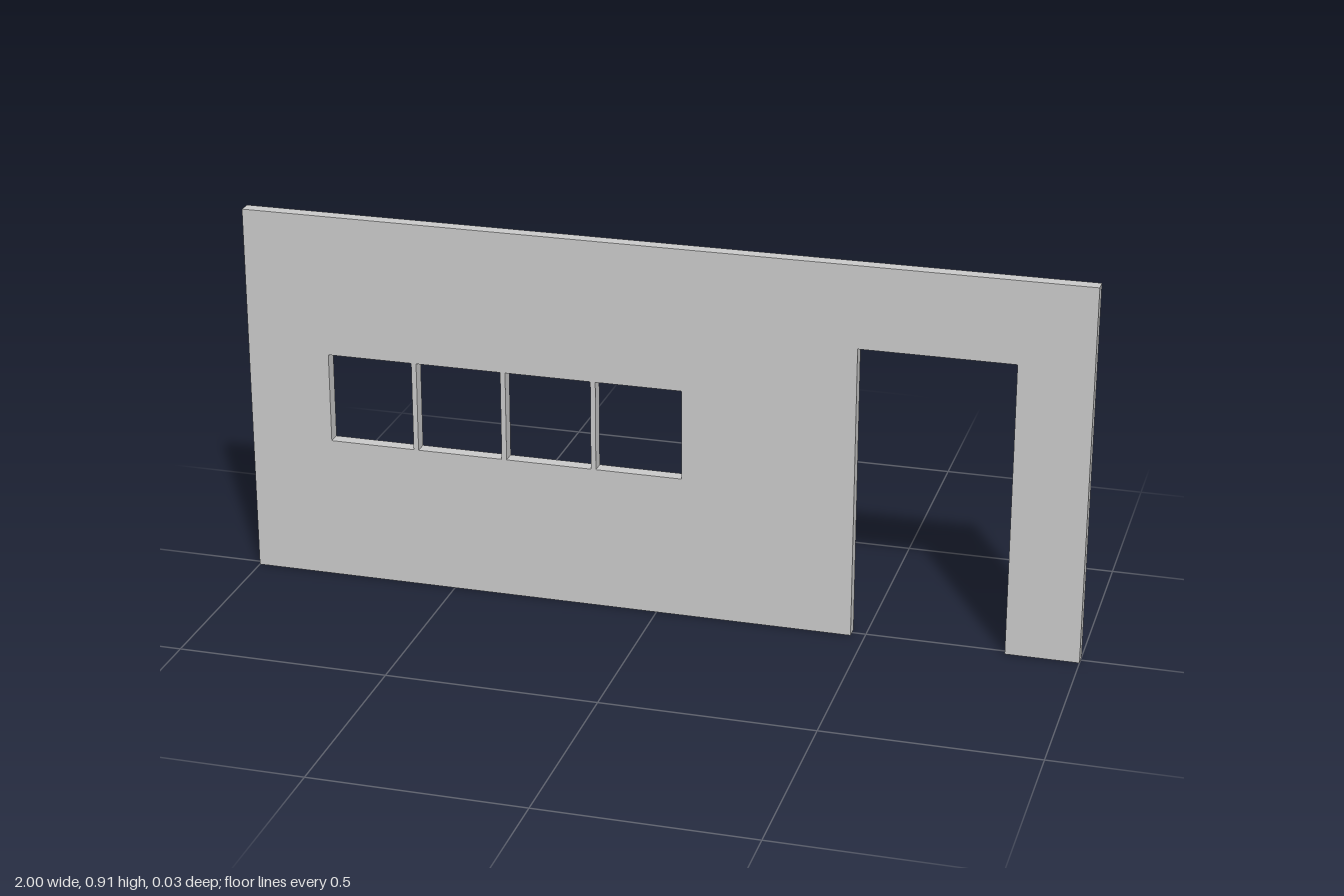
import * as THREE from 'three';

const HEIGHT = 0.907, DEPTH = 0.032;
const DOOR = { left: 0.467, right: 0.828, top: 0.71 };
const WINDOW = { left: -0.8, right: 0.06, bottom: 0.347, top: 0.565, panes: 4, bar: 0.012 };

const polygon = (points, Type) => new Type(points.map(([x, y]) => new THREE.Vector2(x, y)));

export function createModel() {
  const model = new THREE.Group();
  model.name = 'wallPanel';

  // Wall outline with the doorway notched into its lower edge
  const outline = polygon([
    [-1, 0], [DOOR.left, 0], [DOOR.left, DOOR.top], [DOOR.right, DOOR.top],
    [DOOR.right, 0], [1, 0], [1, HEIGHT], [-1, HEIGHT],
  ], THREE.Shape);

  // Row of window openings separated by thin bars
  const { left, right, bottom, top, panes, bar } = WINDOW;
  const width = (right - left - bar * (panes - 1)) / panes;
  for (let i = 0; i < panes; i++) {
    const x = left + i * (width + bar);
    outline.holes.push(polygon(
      [[x, bottom], [x, top], [x + width, top], [x + width, bottom]], THREE.Path));
  }

  const geometry = new THREE.ExtrudeGeometry(outline, { depth: DEPTH, bevelEnabled: false });
  geometry.translate(0, 0, -DEPTH / 2);
  const wall = new THREE.Mesh(geometry,
    new THREE.MeshStandardMaterial({ color: 0xcccccc, flatShading: true }));
  wall.name = 'wall';
  model.add(wall);
  return model;
}
